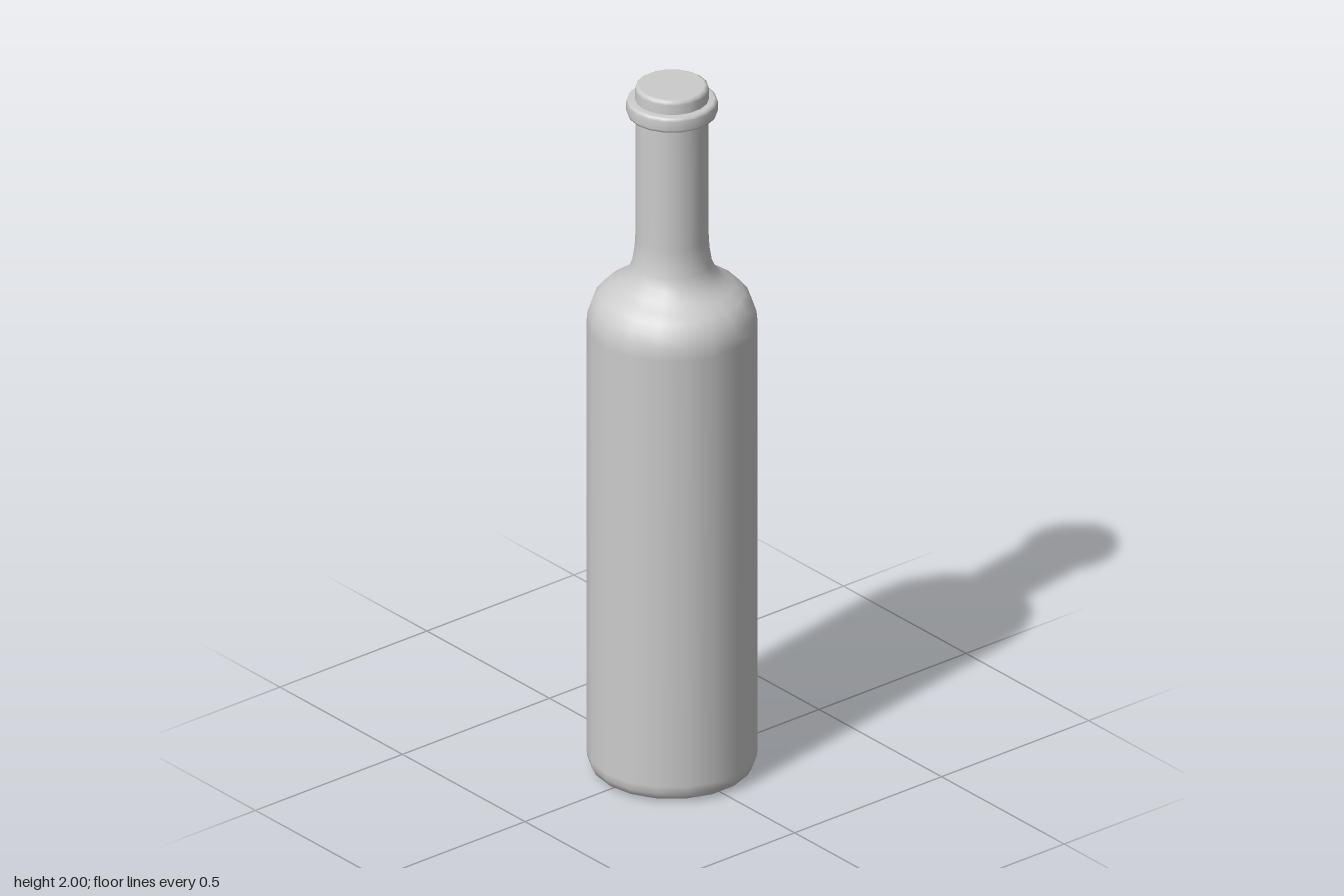
import * as THREE from 'three';

const SIDES = 18;

// Revolves [radius, height] points, listed from bottom to top, with a corner on the x axis
function turned(name, points, material) {
  const profile = points.map(([r, y]) => new THREE.Vector2(r, y));
  const mesh = new THREE.Mesh(new THREE.LatheGeometry(profile, SIDES, Math.PI / 2), material);
  mesh.name = name;
  return mesh;
}

export function createModel() {
  const group = new THREE.Group();
  group.name = 'bottle';
  const material = new THREE.MeshStandardMaterial({ color: 0xcccccc });

  // Flat base, straight body, rounded shoulder and slim neck
  group.add(turned('bottleBody', [
    [0, 0], [0.185, 0], [0.195, 0.002], [0.211, 0.01], [0.221, 0.028], [0.224, 0.05],
    [0.224, 1.3], [0.221, 1.335], [0.209, 1.368], [0.19, 1.392], [0.164, 1.411],
    [0.138, 1.429], [0.118, 1.452], [0.105, 1.482], [0.098, 1.525], [0.096, 1.56],
    [0.096, 1.93],
  ], material));

  // Bevelled collar around the mouth
  group.add(turned('neckRing', [
    [0.09, 1.916], [0.111, 1.916], [0.117, 1.919], [0.12, 1.926],
    [0.12, 1.951], [0.117, 1.958], [0.111, 1.961], [0.09, 1.961],
  ], material));

  // Closed lip on top of the collar
  group.add(turned('lip', [
    [0.097, 1.95], [0.097, 1.988], [0.095, 1.996], [0.089, 2], [0.085, 2], [0, 2],
  ], material));

  return group;
}
